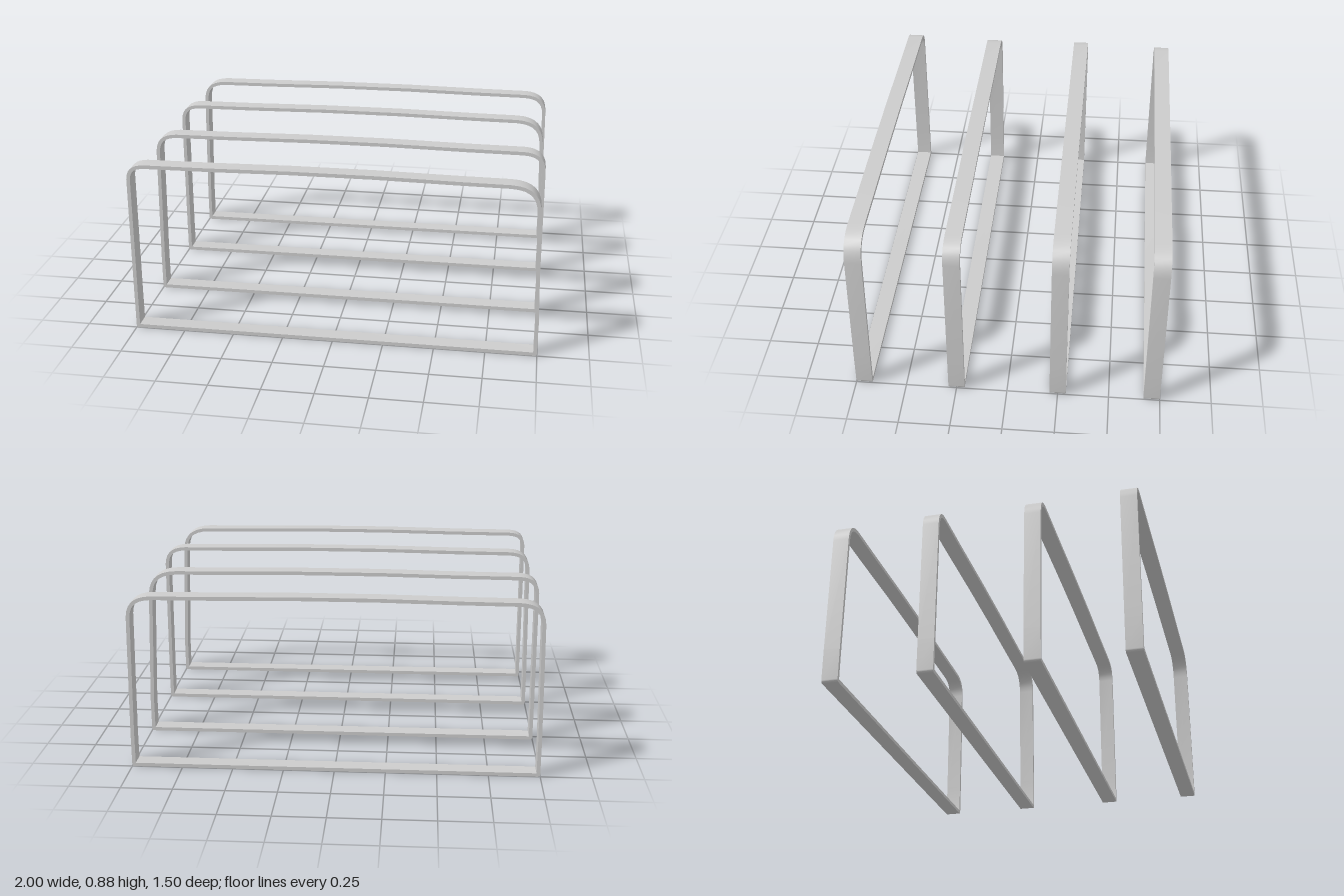
import * as THREE from 'three';
import { toCreasedNormals } from 'three/addons/utils/BufferGeometryUtils.js';

const HEIGHT = 0.88, DEPTH = 0.08, THICK = 0.018;

// z position, then lean and top corner radius for the -x and +x posts
const FRAMES = [
  { z: 0.71, left: [0.02, 0.13], right: [0.003, 0.08] },
  { z: 0.25, left: [0.005, 0.1], right: [0.01, 0.1] },
  { z: -0.25, left: [0.02, 0.13], right: [0.003, 0.09] },
  { z: -0.71, left: [0.01, 0.11], right: [0.01, 0.11] },
];

// Half outline from the bottom middle, up a post and round to the top middle
function halfOutline([lean, r]) {
  const path = new THREE.Path();
  const x = 1 - lean, b = 0.014;
  path.moveTo(1 - b, 0);
  path.quadraticCurveTo(1, 0, 1, b);
  path.lineTo(1, 0.17);
  path.lineTo(x, HEIGHT - r);
  path.bezierCurveTo(x - 0.004, HEIGHT - r * 0.35, x - r * 0.4, HEIGHT - 0.008, x - r * 1.1, HEIGHT - 0.005);
  path.lineTo(0.6, HEIGHT - 0.003);
  path.lineTo(0.2, HEIGHT + 0.003);
  return path.getPoints(7);
}

// Move a closed counter-clockwise outline inwards by a fixed distance
function inset(points, d) {
  const n = points.length;
  const normal = (a, b) => new THREE.Vector2(a.y - b.y, b.x - a.x).normalize();
  return points.map((p, i) => {
    const n1 = normal(points[(i + n - 1) % n], p);
    const n2 = normal(p, points[(i + 1) % n]);
    const m = n1.clone().add(n2).normalize();
    return p.clone().addScaledVector(m, d / m.dot(n1));
  });
}

function makeHoop({ z, left, right }) {
  const plus = halfOutline(left);
  const minus = halfOutline(right).reverse().map(p => new THREE.Vector2(-p.x, p.y));
  const outer = [...plus, ...minus];
  const shape = new THREE.Shape(outer);
  shape.holes.push(new THREE.Path(inset(outer, THICK)));
  const geometry = new THREE.ExtrudeGeometry(shape, { depth: DEPTH, bevelEnabled: false });
  geometry.translate(0, 0, z - DEPTH / 2);
  return toCreasedNormals(geometry, 0.5);
}

export function createModel() {
  const group = new THREE.Group();
  group.name = 'hoopFrames';
  const material = new THREE.MeshStandardMaterial({ color: 0xcccccc });
  FRAMES.forEach((frame, i) => {
    const hoop = new THREE.Mesh(makeHoop(frame), material);
    hoop.name = `hoop${i + 1}`;
    group.add(hoop);
  });
  return group;
}
